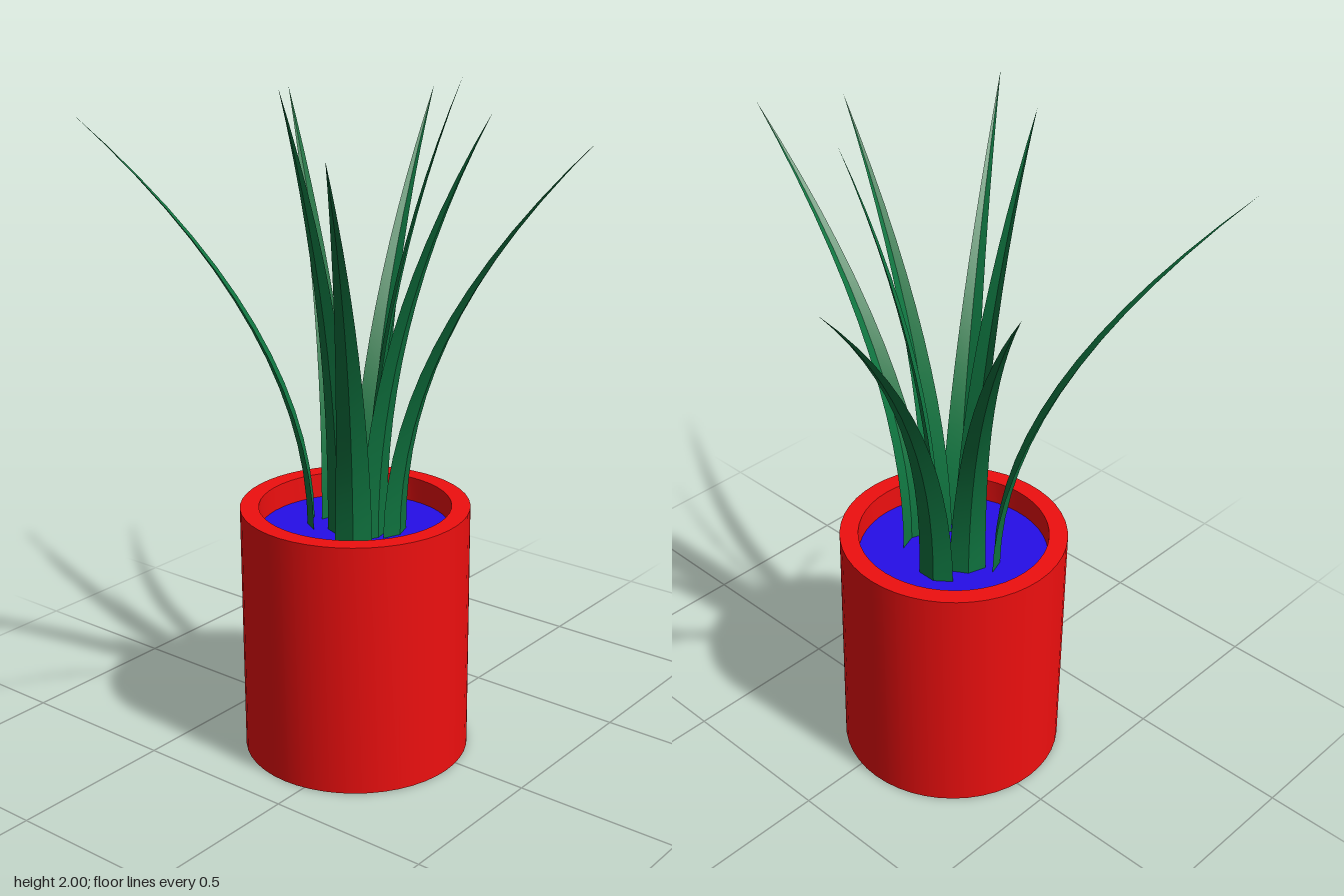
import * as THREE from 'three';
import { toCreasedNormals } from 'three/addons/utils/BufferGeometryUtils.js';

const POT_X = -0.055, POT_Z = -0.07;
const SOIL_Y = 0.69;

// One gutter-shaped leaf: V cross-sections swept along a parabola, tapering to a point
function leafGeometry([bx, bz], [tx, ty, tz]) {
  const steps = 14, baseY = SOIL_Y - 0.01, halfWidth = 0.054, fold = 0.02;
  const length = Math.hypot(tx - bx, tz - bz);
  const dx = (tx - bx) / length, dz = (tz - bz) / length;
  const positions = [], index = [];
  for (let i = 0; i <= steps; i++) {
    const t = i / steps;
    const taper = 1 - Math.pow(t, 1.3);
    const out = length * t * t;
    const y = baseY + (ty - baseY) * t;
    // the fold points outwards, square to the direction of growth
    const slope = 2 * length * t / (ty - baseY);
    const k = fold * taper / Math.hypot(1, slope);
    for (const s of [-1, 0, 1]) {
      const side = s * halfWidth * taper;
      const o = out + (s === 0 ? k : 0);
      positions.push(bx + dx * o - dz * side, y - (s === 0 ? k * slope : 0), bz + dz * o + dx * side);
    }
    if (i === steps) break;
    for (let j = 0; j < 2; j++) {
      const a = i * 3 + j, b = a + 1, c = a + 3, d = a + 4;
      index.push(a, c, b, b, c, d);
    }
  }
  const geometry = new THREE.BufferGeometry();
  geometry.setAttribute('position', new THREE.Float32BufferAttribute(positions, 3));
  geometry.setIndex(index);
  return toCreasedNormals(geometry, 0.3);
}

export function createModel() {
  const group = new THREE.Group();
  const red = new THREE.MeshStandardMaterial({ color: 0xee0f0f });
  const blue = new THREE.MeshStandardMaterial({ color: 0x260ee8 });
  const green = new THREE.MeshStandardMaterial({ color: 0x0f7540, side: THREE.DoubleSide });

  // Thick-walled pot with a flat rim and closed underside
  const profile = [[0, 0], [0.338, 0], [0.338, 0.765], [0.283, 0.765], [0.283, 0.65]]
    .map(([r, y]) => new THREE.Vector2(r, y));
  const pot = new THREE.Mesh(toCreasedNormals(new THREE.LatheGeometry(profile, 48), 0.6), red);
  pot.name = 'pot';
  pot.position.set(POT_X, 0, POT_Z);
  group.add(pot);

  // Filling just below the rim
  const soil = new THREE.Mesh(new THREE.CircleGeometry(0.283, 48), blue);
  soil.name = 'soil';
  soil.rotation.x = -Math.PI / 2;
  soil.position.set(POT_X, SOIL_Y, POT_Z);
  group.add(soil);

  // Leaves: root (x, z) and tip (x, y, z)
  const leaves = new THREE.Group();
  leaves.name = 'leaves';
  [
    [[-0.10, -0.19], [-0.51, 1.90, -0.69]],
    [[-0.02, -0.16], [0.38, 1.89, -0.68]],
    [[0.07, -0.12], [0.68, 1.89, -0.335]],
    [[-0.11, -0.075], [-0.36, 2.00, -0.07]],
    [[-0.15, 0.0], [-0.69, 1.90, 0.36]],
    [[-0.07, 0.01], [-0.135, 1.96, 0.445]],
    [[-0.015, 0.045], [-0.025, 1.90, 0.69]],
    [[0.0, -0.065], [0.18, 2.00, 0.13]],
  ].forEach(([root, tip], i) => {
    const leaf = new THREE.Mesh(leafGeometry(root, tip), green);
    leaf.name = `leaf${i + 1}`;
    leaves.add(leaf);
  });
  group.add(leaves);
  return group;
}
